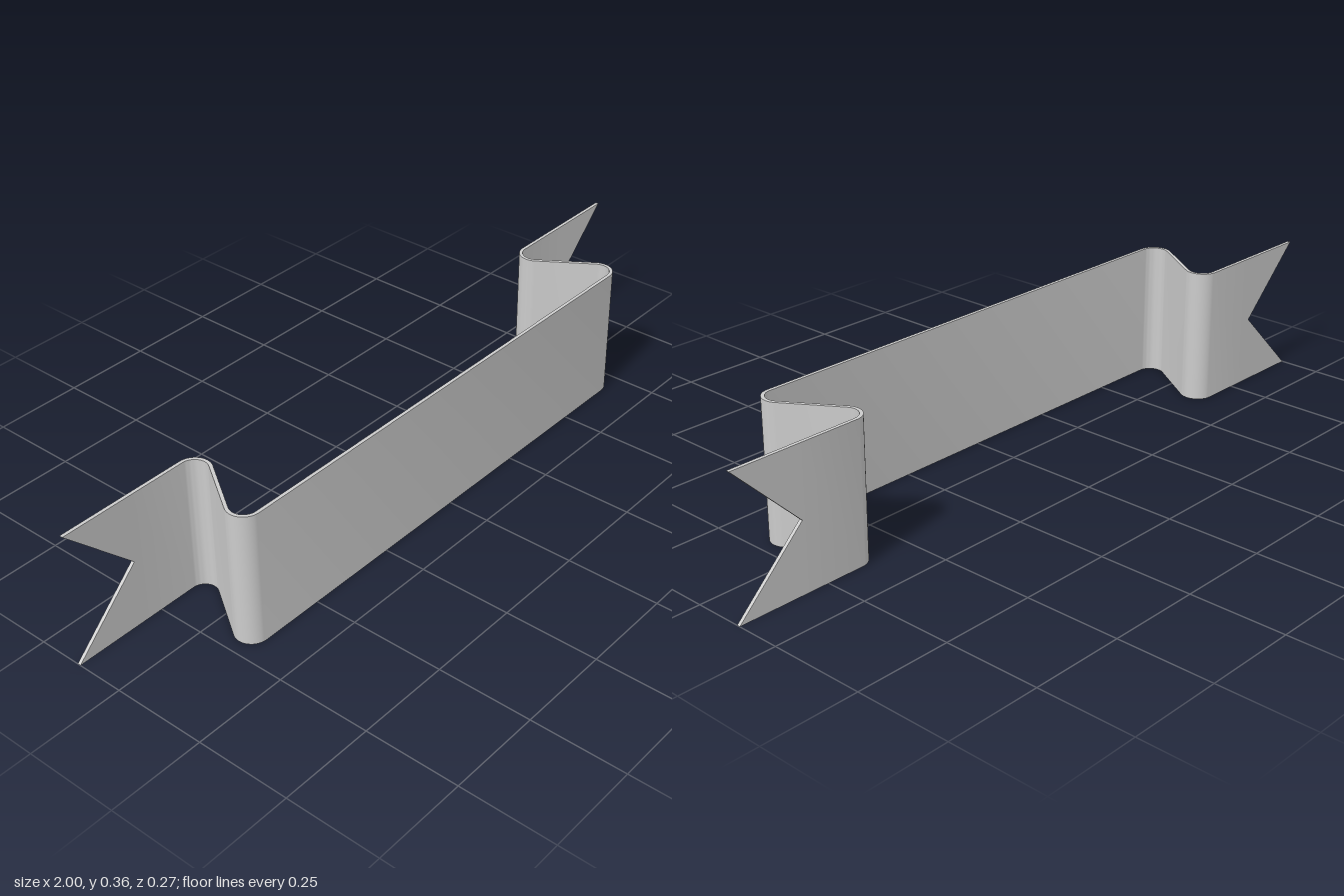
import * as THREE from 'three';
import { toCreasedNormals } from 'three/addons/utils/BufferGeometryUtils.js';

const HEIGHT = 0.362;
const THICK = 0.009;
const RADIUS = 0.04;      // centreline radius of each fold
const FOLD = { x: 0.672, z: 0.0905 };       // centre of the front fold
const BACK_FOLD = { x: 0.648, z: -0.0905 }; // centre of the rear fold
const SLANT = THREE.MathUtils.degToRad(33.7);
const NOTCH_X = 0.815;    // depth of the swallowtail cut

// Points of an arc in plan (x, z)
function arc(c, r, from, to, steps = 14) {
  return Array.from({ length: steps + 1 }, (_, i) => {
    const a = from + (to - from) * i / steps;
    return new THREE.Vector2(c.x + r * Math.cos(a), c.z + r * Math.sin(a));
  });
}

// One face of the ribbon in plan, right half, from the front fold to the tail
function halfEdge(side) {
  const d = side * THICK / 2;
  return [
    ...arc(FOLD, RADIUS + d, Math.PI / 2, -SLANT),
    ...arc(BACK_FOLD, RADIUS - d, Math.PI - SLANT, Math.PI * 1.5),
    new THREE.Vector2(NOTCH_X, BACK_FOLD.z - RADIUS + d),
  ];
}

// Whole face, mirrored from one tail to the other
function fullEdge(side) {
  const half = halfEdge(side);
  const mirrored = half.map(p => new THREE.Vector2(-p.x, p.y)).reverse();
  return [...mirrored, ...half];
}

export function createModel() {
  const group = new THREE.Group();
  group.name = 'ribbonBanner';
  const material = new THREE.MeshStandardMaterial({ color: 0xcccccc });

  // Folded band: plan outline raised to the ribbon's height
  const outline = [...fullEdge(1), ...fullEdge(-1).reverse()]
    .map(p => new THREE.Vector2(p.x, -p.y));
  const bandGeometry = new THREE.ExtrudeGeometry(new THREE.Shape(outline), {
    depth: HEIGHT, bevelEnabled: false,
  });
  bandGeometry.rotateX(-Math.PI / 2);
  const band = new THREE.Mesh(toCreasedNormals(bandGeometry, Math.PI / 6), material);
  band.name = 'foldedBand';
  group.add(band);

  // Swallowtail points, two on each end
  for (const side of [1, -1]) {
    const tail = new THREE.Group();
    tail.name = side > 0 ? 'leftTail' : 'rightTail';
    for (const y of [0, HEIGHT]) {
      const shape = new THREE.Shape([
        new THREE.Vector2(side * NOTCH_X, y),
        new THREE.Vector2(side, y),
        new THREE.Vector2(side * NOTCH_X, HEIGHT / 2),
      ]);
      const geometry = new THREE.ExtrudeGeometry(shape, { depth: THICK, bevelEnabled: false });
      geometry.translate(0, 0, BACK_FOLD.z - RADIUS - THICK / 2);
      const point = new THREE.Mesh(geometry, material);
      point.name = y > 0 ? 'upperPoint' : 'lowerPoint';
      tail.add(point);
    }
    group.add(tail);
  }
  return group;
}
